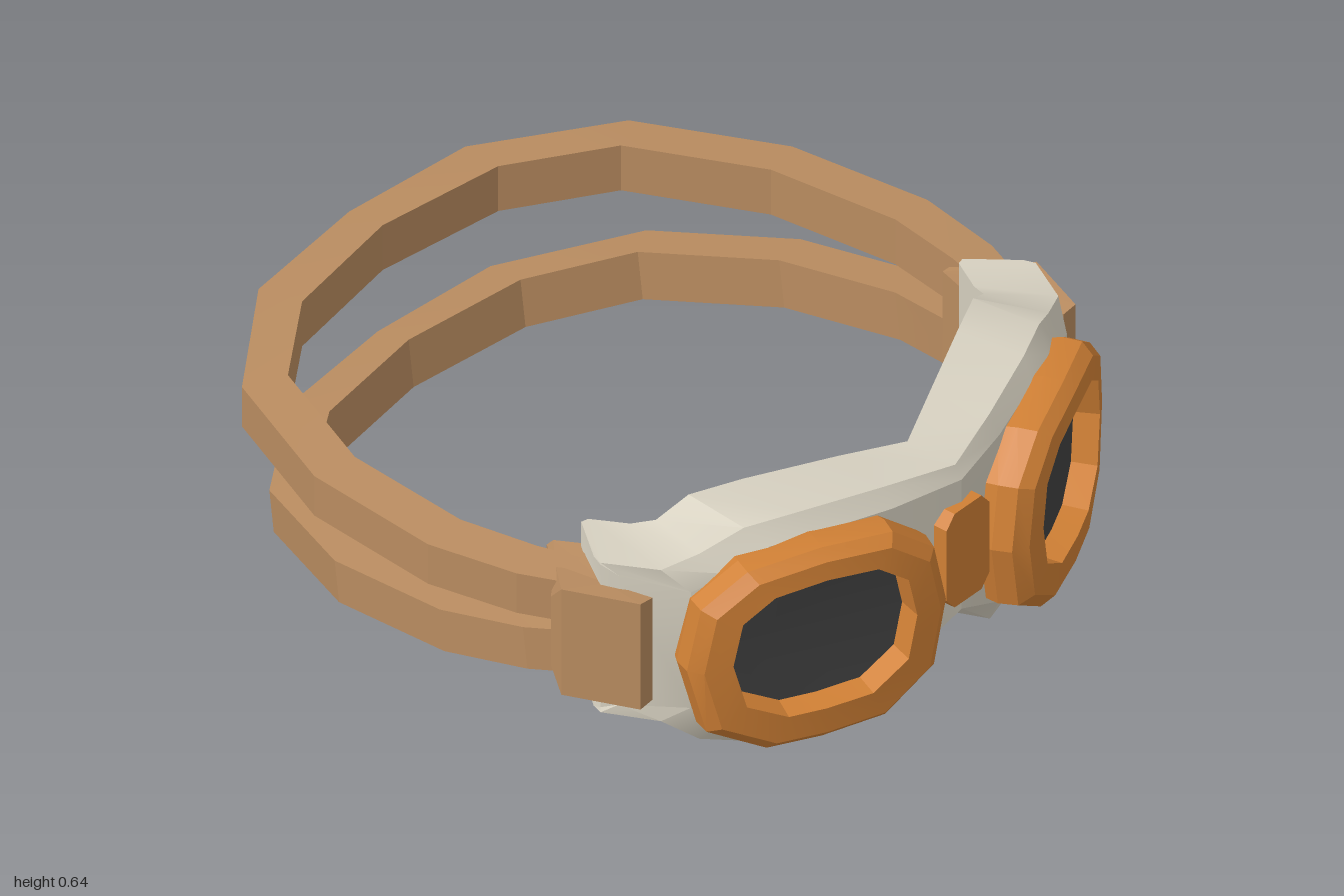
import * as THREE from 'three';
import { toCreasedNormals } from 'three/addons/utils/BufferGeometryUtils.js';

const paint = (name, color) => {
  const m = new THREE.MeshStandardMaterial({ color });
  m.name = name;
  return m;
};

// Joins equal-length loops of [x, y, z] into a skin, with outward faces.
function loft(loops, { ring = false, crease = 0.4 } = {}) {
  const n = loops[0].length, tris = [];
  const last = ring ? loops.length : loops.length - 1;
  for (let i = 0; i < last; i++) {
    const a = loops[i], b = loops[(i + 1) % loops.length];
    for (let j = 0; j < n; j++) {
      const k = (j + 1) % n;
      tris.push([a[j], b[j], b[k]], [a[j], b[k], a[k]]);
    }
  }
  if (!ring) {
    const a = loops[0], b = loops[loops.length - 1];
    for (let j = 1; j < n - 1; j++) tris.push([a[0], a[j], a[j + 1]], [b[0], b[j + 1], b[j]]);
  }
  // the sign of the enclosed volume tells which way the corners run
  let volume = 0;
  for (const [p, q, r] of tris) {
    volume += p[0] * (q[1] * r[2] - q[2] * r[1]) + p[1] * (q[2] * r[0] - q[0] * r[2]) + p[2] * (q[0] * r[1] - q[1] * r[0]);
  }
  if (volume < 0) tris.forEach((t) => t.reverse());
  const g = new THREE.BufferGeometry();
  g.setAttribute('position', new THREE.Float32BufferAttribute(tris.flat(2), 3));
  g.computeVertexNormals();
  return toCreasedNormals(g, crease);
}

export function createModel() {
  const model = new THREE.Group();
  model.name = 'goggles';
  const shell = paint('pale shell', 0xd6d0c0);
  const orange = paint('orange rim', 0xd08035);
  const leather = paint('brown strap', 0xb98c60);
  const dark = paint('dark lens', 0x404040);

  const add = (name, geometry, material, parent = model) => {
    const mesh = new THREE.Mesh(geometry, material);
    mesh.name = name;
    parent.add(mesh);
    return mesh;
  };

  // Face shell: back x,z | edge x,z | front x,z | top, bottom | front top, front bottom
  const half = [
    [0, 0.75, 0, 0.9, 0, 0.92, 0.615, 0.18, 0.58, 0.2],
    [0.17, 0.675, 0.2, 0.84, 0.2, 0.87, 0.63, 0.025, 0.58, 0.09],
    [0.4, 0.57, 0.42, 0.76, 0.4, 0.805, 0.64, 0.0, 0.59, 0.05],
    [0.53, 0.51, 0.55, 0.7, 0.52, 0.755, 0.637, 0.01, 0.59, 0.05],
    [0.61, 0.475, 0.65, 0.645, 0.61, 0.715, 0.59, 0.045, 0.54, 0.09],
    [0.64, 0.42, 0.74, 0.6, 0.7, 0.66, 0.57, 0.125, 0.51, 0.17],
    [0.69, 0.33, 0.81, 0.47, 0.79, 0.51, 0.57, 0.13, 0.54, 0.16],
    [0.71, 0.325, 0.8, 0.44, 0.805, 0.465, 0.57, 0.13, 0.56, 0.14],
  ];
  const section = (s, side) => {
    const [xb, zb, xm, zm, xf, zf, top, bottom, frontTop, frontBottom] = s;
    return [
      [xb, top, zb], [xm, top, zm], [xf, frontTop, zf],
      [xf, frontBottom, zf], [xm, bottom, zm], [xb, bottom, zb],
    ].map(([x, y, z]) => [x * side, y, z]);
  };
  const sections = [
    ...half.slice(1).reverse().map((s) => section(s, -1)),
    ...half.map((s) => section(s, 1)),
  ];
  add('faceShell', loft(sections, { crease: 0.45 }), shell);

  // Eyepieces: a twelve-sided outline shared by rim and lens
  const outline = [
    [1, 0], [0.9, 0.62], [0.56, 0.93], [0, 1], [-0.56, 0.93], [-0.9, 0.6],
    [-1, 0], [-0.9, -0.64], [-0.5, -0.98], [0, -1], [0.42, -0.98], [0.86, -0.68],
  ];
  // half width, half height, centre height, depth
  const rimProfile = [
    [0.335, 0.27, 0.322, -0.05], [0.348, 0.28, 0.322, 0.0], [0.345, 0.277, 0.322, 0.05],
    [0.315, 0.25, 0.324, 0.08], [0.245, 0.188, 0.336, 0.085], [0.232, 0.18, 0.338, 0.0],
  ];
  // the rim bows gently backward toward its two ends
  const bow = (u) => -0.25 * u * u;
  const loop = ([w, h, y, d]) => outline.map(([u, v]) => [u * w, y + v * h, d + bow(u * w)]);
  const rimGeometry = loft(rimProfile.map(loop), { ring: true, crease: 0.3 });
  const lensGeometry = loft([loop([0.236, 0.183, 0.338, 0.012]), loop([0.236, 0.183, 0.338, 0.02])]);

  // Strap path seen from above, front to back: outer x,z and inner x,z
  const strapHalf = [
    [0.83, 0.4, 0.74, 0.36], [0.885, 0.27, 0.775, 0.24], [0.93, 0.03, 0.81, 0.03],
    [0.89, -0.36, 0.775, -0.33], [0.72, -0.73, 0.62, -0.67], [0.385, -0.96, 0.365, -0.84],
  ];
  const strapPath = [
    ...strapHalf,
    [0, -1, 0, -0.895],
    ...strapHalf.slice().reverse().map(([a, b, c, d]) => [-a, b, -c, d]),
  ];
  const strap = (scaleX, scaleZ, y, slope) => loft(strapPath.map(([xo, zo, xi, zi]) => {
    const at = (x, z, dy) => {
      const depth = 0.38 + (z - 0.38) * scaleZ;
      return [x * scaleX, y + dy + (depth - 0.36) * slope, depth - dy * slope];
    };
    return [at(xo, zo, 0.058), at(xo, zo, -0.058), at(xi, zi, -0.066), at(xi, zi, 0.066)];
  }), { crease: 0.2 });
  add('upperStrap', strap(1, 1, 0.43, 0), leather);
  add('lowerStrap', strap(0.975, 0.93, 0.27, 0.12), leather);

  // Side clasps: a plan outline wrapped round the shell's ends, pointed at the back
  // x, z, half height
  const claspPlan = [
    [0.765, 0.595, 0.15], [0.81, 0.595, 0.155], [0.885, 0.41, 0.155], [0.865, 0.36, 0.1],
    [0.8, 0.32, 0.14], [0.75, 0.25, 0.14], [0.725, 0.25, 0.14], [0.69, 0.34, 0.15], [0.79, 0.47, 0.15],
  ];

  for (const [side, label] of [[1, 'left'], [-1, 'right']]) {
    const eye = new THREE.Group();
    eye.name = `${label}Eyepiece`;
    eye.position.set(0.43 * side, 0, 0.815);
    eye.rotation.y = 0.42 * side;
    model.add(eye);
    // mirrored outlines are rebuilt so that faces keep pointing outward
    const flip = (g) => {
      if (side > 0) return g;
      const m = g.clone(), p = m.attributes.position, q = m.attributes.normal;
      for (const a of [p, q]) {
        for (let i = 0; i < a.count; i += 3) {
          const t = [0, 1, 2].map((k) => [-a.getX(i + k), a.getY(i + k), a.getZ(i + k)]);
          t.reverse().forEach((v, k) => a.setXYZ(i + k, ...v));
        }
      }
      return m;
    };
    add(`${label}Rim`, flip(rimGeometry), orange, eye);
    add(`${label}Lens`, flip(lensGeometry), dark, eye);

    // Clasp, with flat top and bottom triangulated from its plan
    const faces = THREE.ShapeUtils.triangulateShape(claspPlan.map(([x, z]) => new THREE.Vector2(x, z)), []);
    const corner = (i, up) => [claspPlan[i][0], 0.35 + claspPlan[i][2] * up, claspPlan[i][1]];
    const tris = [];
    for (const [a, b, c] of faces) {
      tris.push(corner(a, -1), corner(b, -1), corner(c, -1), corner(c, 1), corner(b, 1), corner(a, 1));
    }
    claspPlan.forEach((_, i) => {
      const k = (i + 1) % claspPlan.length;
      tris.push(corner(i, 1), corner(k, 1), corner(k, -1), corner(i, 1), corner(k, -1), corner(i, -1));
    });
    const clasp = new THREE.BufferGeometry();
    clasp.setAttribute('position', new THREE.Float32BufferAttribute(tris.flat(), 3));
    clasp.computeVertexNormals();
    const claspMaterial = leather;
    claspMaterial.side = THREE.DoubleSide;
    add(`${label}Clasp`, flip(clasp), claspMaterial);
  }

  // Chamfered plate over the nose bridge
  const plate = new THREE.Shape([
    [-0.05, 0.24], [0.05, 0.24], [0.08, 0.275], [0.08, 0.48],
    [0.05, 0.515], [-0.05, 0.515], [-0.08, 0.48], [-0.08, 0.275],
  ].map(([x, y]) => new THREE.Vector2(x, y)));
  const plateGeometry = new THREE.ExtrudeGeometry(plate, { depth: 0.06, bevelEnabled: false });
  add('nosePlate', plateGeometry, orange).position.z = 0.88;

  return model;
}
